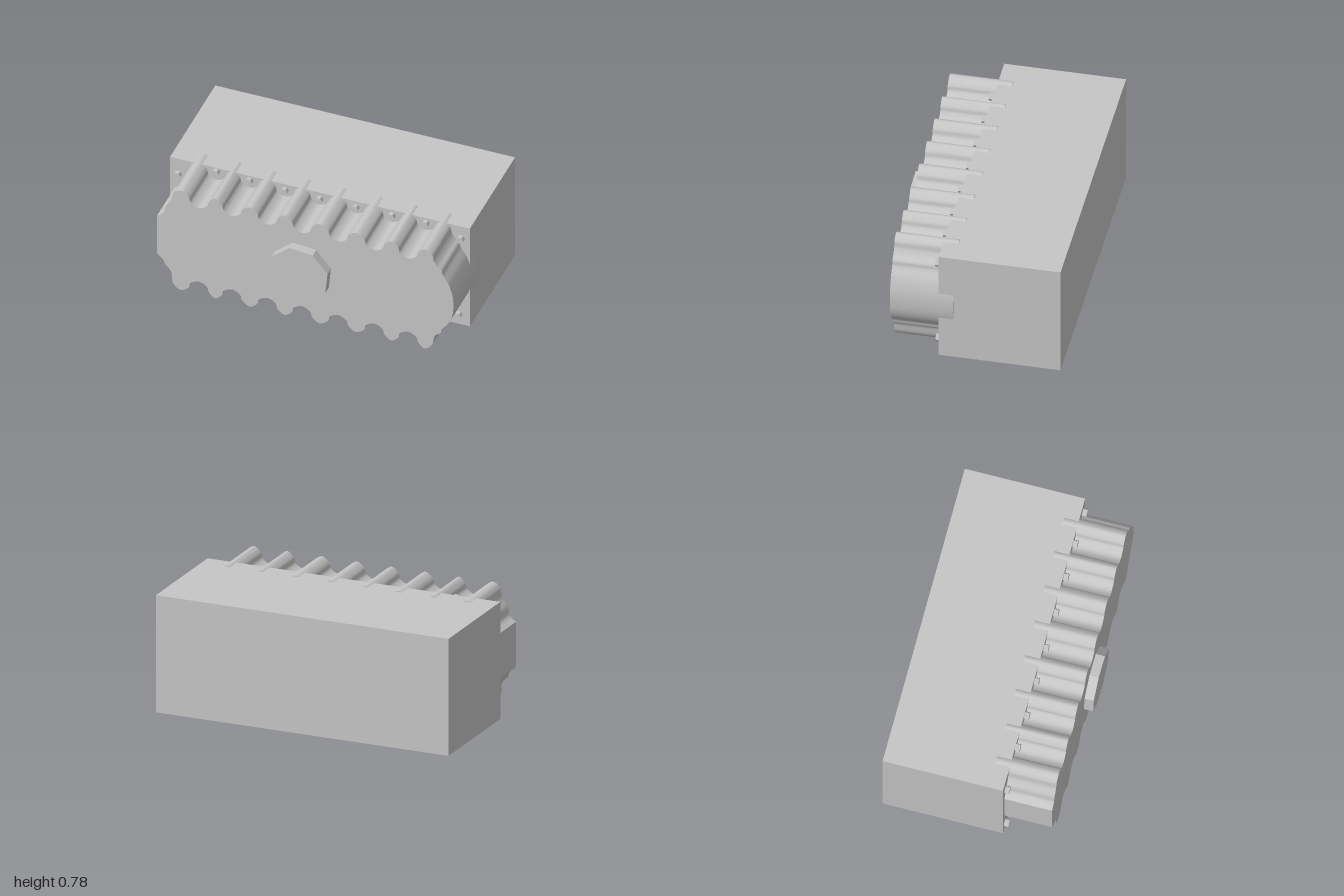
import * as THREE from 'three';
import { toCreasedNormals } from 'three/addons/utils/BufferGeometryUtils.js';

export function createModel() {
  const model = new THREE.Group();
  model.name = 'gearHousing';
  const steel = new THREE.MeshStandardMaterial({ color: 0xc6c6c6 });
  steel.name = 'greySteel';

  const add = (name, geometry, x = 0, y = 0, z = 0) => {
    const mesh = new THREE.Mesh(geometry, steel);
    mesh.name = name;
    mesh.position.set(x, y, z);
    model.add(mesh);
    return mesh;
  };

  // Rectangular housing block
  add('housingBlock', new THREE.BoxGeometry(1.99, 0.766, 0.77), -0.005, 0.388, -0.183);

  // Scalloped cover: crests between round notches that clear the bolts
  const notches = [-0.69, -0.47, -0.235, -0.005, 0.235, 0.475, 0.7];
  const crests = [-0.81, -0.583, -0.352, -0.122, 0.112, 0.352, 0.588, 0.81];
  const scallopEdge = (crestY, dir) => {
    const points = [];
    notches.forEach((x, i) => {
      points.push([crests[i], crestY]);
      for (const [dx, depth] of [[-0.068, 0.034], [-0.053, 0.075], [0, 0.101], [0.053, 0.075], [0.068, 0.034]]) {
        points.push([x + dx, crestY - dir * depth]);
      }
    });
    points.push([crests[7], crestY]);
    return points;
  };
  const leftOfTop = [[-0.968, 0.54], [-0.925, 0.575], [-0.91, 0.63], [-0.874, 0.685], [-0.857, 0.752]];
  const rightEnd = [
    [0.858, 0.752], [0.87, 0.705], [0.893, 0.67], [0.922, 0.645], [0.93, 0.61], [0.968, 0.55], [0.993, 0.47],
    [1, 0.39], [0.993, 0.31], [0.968, 0.245], [0.927, 0.19], [0.913, 0.152], [0.877, 0.122], [0.858, 0.045],
  ];
  const leftOfBottom = [[-0.862, 0.045], [-0.874, 0.13], [-0.912, 0.172], [-0.925, 0.205], [-0.968, 0.245]];
  const outline = [
    ...leftOfTop, ...scallopEdge(0.78, 1), ...rightEnd, ...scallopEdge(0.002, -1).reverse(), ...leftOfBottom,
  ].map(([x, y]) => new THREE.Vector2(x, y));
  const shape = new THREE.Shape();
  shape.moveTo(outline[0].x, outline[0].y);
  shape.splineThru(outline.slice(1));
  shape.closePath();
  const cover = new THREE.ExtrudeGeometry(shape, { depth: 0.4, bevelEnabled: false, curveSegments: 5 });
  add('scallopedCover', toCreasedNormals(cover, 0.7), 0, 0, 0.108);

  // Prism with its axis along z
  const prism = (radius, depth, sides, turn) => {
    const geometry = new THREE.CylinderGeometry(radius, radius, depth, sides).toNonIndexed();
    geometry.rotateX(Math.PI / 2);
    geometry.rotateZ(turn);
    geometry.computeVertexNormals();
    return geometry;
  };

  // Octagonal boss in the middle of the cover
  add('octagonBoss', prism(0.201, 0.062, 8, 0.3), -0.005, 0.393, 0.536);

  // Hexagonal bolts in the notches and at the corners
  const topY = [0.745, 0.737, 0.729, 0.725, 0.727, 0.732, 0.735];
  const bolts = [[-0.945, 0.655], [0.933, 0.68], [-0.957, 0.092], [0.918, 0.083]];
  notches.forEach((x, i) => bolts.push([x, topY[i]], [x, 0.05]));
  const boltGeometry = prism(0.025, 0.04, 6, Math.PI / 6);
  bolts.forEach(([x, y]) => add('hexBolt', boltGeometry, x, y, 0.212));

  return model;
}
